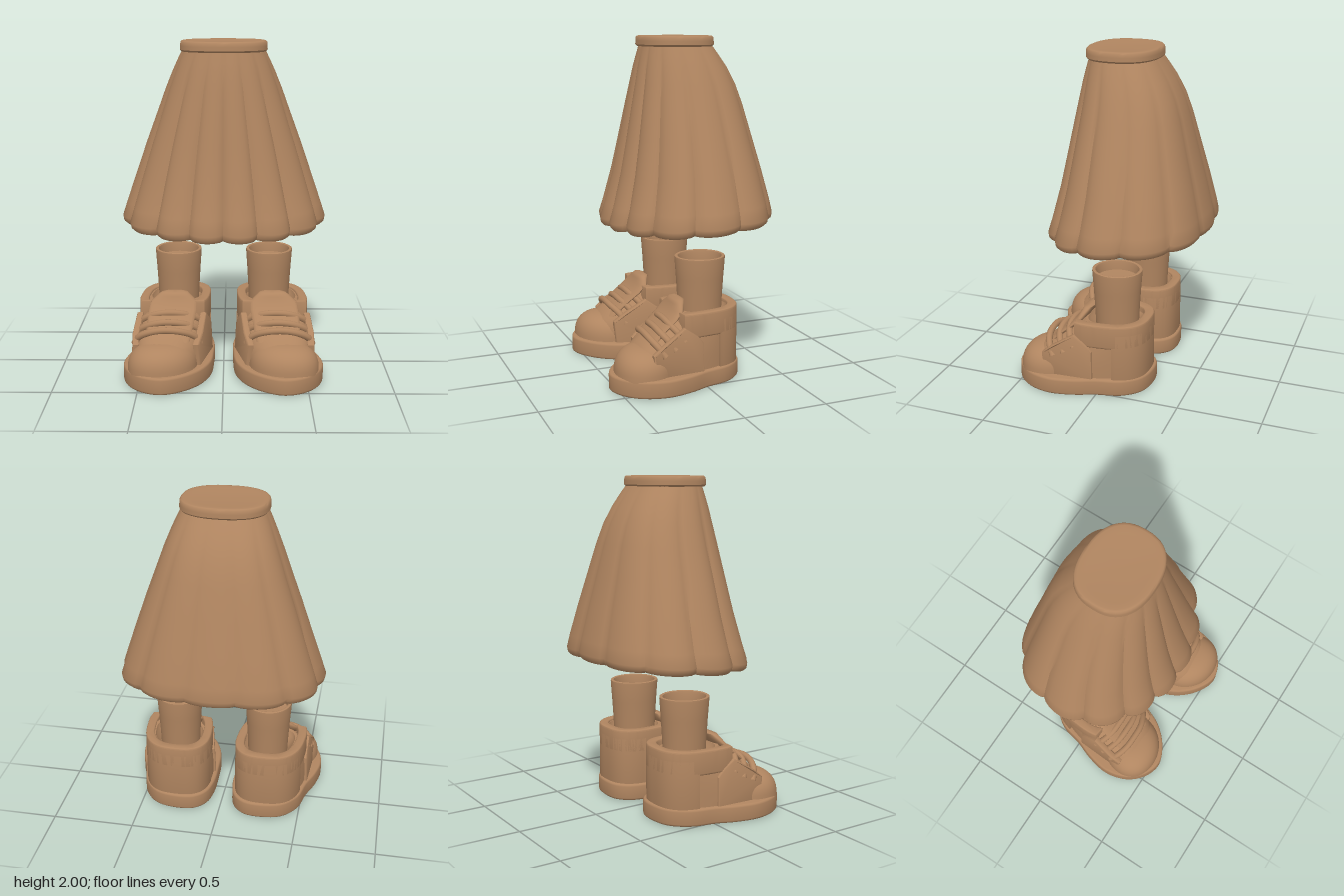
import * as THREE from 'three';
import { toCreasedNormals } from 'three/addons/utils/BufferGeometryUtils.js';

const material = new THREE.MeshStandardMaterial({ color: 0xb08560, side: THREE.DoubleSide });

function add(parent, name, geometry) {
  const mesh = new THREE.Mesh(geometry, material);
  mesh.name = name;
  parent.add(mesh);
  return mesh;
}

// Skin a stack of closed rings, each an array of [x, y, z]
function loft(rings, crease = 0.7) {
  const n = rings[0].length, index = [];
  for (let i = 0; i < rings.length - 1; i++) {
    for (let j = 0; j < n; j++) {
      const k = (j + 1) % n, a = i * n, b = a + n;
      index.push(a + j, a + k, b + k, a + j, b + k, b + j);
    }
  }
  const g = new THREE.BufferGeometry();
  g.setAttribute('position', new THREE.Float32BufferAttribute(rings.flat(2), 3));
  g.setIndex(index);
  return toCreasedNormals(g, crease);
}

// Superellipse point at angle t, measured from +z towards +x
function superPoint(t, power) {
  const f = v => Math.sign(v) * Math.pow(Math.abs(v), 2 / power);
  return [f(Math.sin(t)), f(Math.cos(t))];
}

// Horizontal ring; slant turns the toe outward
function ring(y, halfX, zBack, zFront, { cx = 0, slant = 0, power = 2.4, n = 48 } = {}) {
  return Array.from({ length: n }, (_, j) => {
    const [u, v] = superPoint(j / n * Math.PI * 2, power);
    const z = (zBack + zFront) / 2 + v * (zFront - zBack) / 2;
    return [cx + u * halfX + slant * (z + 0.05), y, z];
  });
}

// Angles of the pleat valleys around the skirt, mirrored left to right
const half = [0.35, 0.74, 1.245, 1.83, 2.39, 2.89];
const valleys = [0, ...half, ...half.map(a => 2 * Math.PI - a).reverse(), 2 * Math.PI];

// Pleated ring: squarer and shallower towards the back
function skirtRing([y, halfX, zBack, zFront, depth], inset = 0) {
  const s = THREE.MathUtils.clamp((1.93 - y) / 1.03, 0, 1), steps = 10, pts = [];
  const cz = (zBack + zFront) / 2, rz = (zFront - zBack) / 2;
  for (let i = 0; i < valleys.length - 1; i++) {
    for (let k = 0; k < steps; k++) {
      const u = k / steps, t = THREE.MathUtils.lerp(valleys[i], valleys[i + 1], u);
      const sin = Math.sin(t), cos = Math.cos(t), power = cos < 0 ? 2.45 : 2.05;
      const square = Math.pow(Math.abs(sin) ** power + Math.abs(cos) ** power, -1 / power);
      const dip = (1 - Math.pow(Math.sin(Math.PI * u), 0.65)) * (0.75 + 0.25 * cos);
      const scale = square * (1 - depth * dip - inset);
      const lift = s * s * (0.03 * (1 - cos) + 0.01 * dip);
      pts.push([sin * halfX * scale, y + lift, cz + cos * rz * scale]);
    }
  }
  return pts;
}

function buildSkirt(parent) {
  // y, half width, back z, front z, pleat depth
  const rows = [
    [0.915, 0.618, -0.545, 0.438, 0.08], [1.0, 0.592, -0.53, 0.412, 0.08],
    [1.2, 0.527, -0.485, 0.36, 0.072], [1.4, 0.46, -0.435, 0.319, 0.065],
    [1.6, 0.388, -0.385, 0.28, 0.055], [1.72, 0.345, -0.345, 0.255, 0.045],
    [1.82, 0.304, -0.295, 0.234, 0.035], [1.89, 0.272, -0.248, 0.215, 0.02],
    [1.95, 0.242, -0.205, 0.198, 0.008],
  ];
  const hem = y => [y, ...rows[0].slice(1)];
  const inner = rows.slice().reverse().map(([y, x, b, f]) => skirtRing([y, x, b, f, 0], 0.1));
  const outer = rows.map(r => skirtRing(r));
  const top = inner[0].map(() => [0, 1.95, 0]);
  add(parent, 'pleatedSkirt', loft([
    top, ...inner, skirtRing([0.882, 0.618, -0.545, 0.438, 0.03], 0.07), skirtRing(hem(0.873), 0.035),
    skirtRing(hem(0.887), 0.008), ...outer], 0.8));

  // Waistband with a gently rounded edge
  const band = [[1.938, 0.235, 0.2], [1.938, 0.25, 0.207], [1.948, 0.258, 0.216], [1.97, 0.257, 0.215],
    [1.99, 0.255, 0.213], [1.998, 0.248, 0.206], [2, 0.236, 0.195], [1.996, 0.2, 0.16], [1.996, 0, 0]];
  add(parent, 'waistband', loft(band.map(([y, x, z]) => ring(y, x, -z - 0.005, z - 0.005))));
}

// U-shaped wrap around the heel, ending at zEnd on both sides
function heelWrap(y0, y1, zEnd) {
  const arc = (h, zBack, zFront) => ring(0, h, zBack, zFront, { cx: 0.293, slant: 0.09, n: 120, power: 2.7 })
    .filter(p => p[2] < zEnd).map(p => new THREE.Vector2(p[0], -p[2]));
  const shape = new THREE.Shape([...arc(0.203, -0.255, 0.24), ...arc(0.165, -0.215, 0.2).reverse()]);
  const g = new THREE.ExtrudeGeometry(shape, {
    depth: y1 - y0 - 0.024, bevelSize: 0.009, bevelThickness: 0.012, bevelSegments: 3 });
  g.rotateX(-Math.PI / 2).translate(0, y0 + 0.012, 0);
  return toCreasedNormals(g, 0.6);
}

function buildFoot() {
  const foot = new THREE.Group();

  // Thick sole
  const solePoints = [[0.27, -0.28], [0.4, -0.25], [0.49, -0.15], [0.53, 0], [0.575, 0.12], [0.6, 0.27],
    [0.562, 0.41], [0.475, 0.505], [0.36, 0.543], [0.24, 0.495], [0.135, 0.39], [0.075, 0.25], [0.06, 0.08],
    [0.06, -0.08], [0.09, -0.2], [0.16, -0.265]].map(([x, z]) => new THREE.Vector3(x, -z, 0));
  const soleCurve = new THREE.CatmullRomCurve3(solePoints, true);
  const soleShape = new THREE.Shape(soleCurve.getPoints(64).slice(0, -1).map(p => new THREE.Vector2(p.x, p.y)));
  const sole = new THREE.ExtrudeGeometry(soleShape, {
    depth: 0.075, bevelSize: 0.013, bevelOffset: -0.013, bevelThickness: 0.014, bevelSegments: 3 });
  sole.rotateX(-Math.PI / 2).translate(0, 0.014, 0);
  add(foot, 'sole', toCreasedNormals(sole, 0.6));

  // Shoe body: y, half width, back z, front z; the last rows turn into the opening
  const body = [[0.09, 0.215, -0.25, 0.45], [0.17, 0.215, -0.25, 0.44], [0.23, 0.211, -0.25, 0.4],
    [0.28, 0.204, -0.25, 0.335], [0.33, 0.195, -0.25, 0.255], [0.38, 0.187, -0.245, 0.185],
    [0.42, 0.18, -0.24, 0.135], [0.435, 0.168, -0.23, 0.12], [0.432, 0.153, -0.21, 0.105],
    [0.41, 0.145, -0.2, 0.095], [0.36, 0.1, -0.15, 0.05]];
  add(foot, 'shoeBody', loft(body.map(([y, h, b, f]) =>
    ring(y, h, b, f, { cx: 0.288, slant: 0.14, power: 2.6 })), 0.9));

  // Rounded toe cap
  const cap = [];
  for (let i = 0; i <= 12; i++) {
    const [c, s] = superPoint(i / 12 * Math.PI / 2, 2.6).reverse();
    cap.push(ring(0.09 + 0.163 * s, 0.205 * c, 0.325 - 0.19 * c, 0.325 + 0.19 * c, { cx: 0.308, slant: 0.14, power: 2.05 }));
  }
  add(foot, 'toeCap', loft(cap, 0.9));

  // Heel counter and padded ankle collar
  add(foot, 'heelCounter', heelWrap(0.09, 0.4, -0.085));
  add(foot, 'ankleCollar', heelWrap(0.3, 0.445, 0.14));

  // Side panel between heel counter and toe cap
  for (const side of [-1, 1]) {
    const shape = new THREE.Shape([[0.03, 0.1], [0.32, 0.1], [0.33, 0.23], [0.27, 0.28], [0.14, 0.36],
      [0.07, 0.31], [0.035, 0.27]].map(p => new THREE.Vector2(...p)));
    const g = new THREE.ExtrudeGeometry(shape, { depth: 0.022, bevelSize: 0.008, bevelThickness: 0.008, bevelSegments: 2 });
    g.rotateY(-Math.PI / 2).translate(0.011, 0, 0);
    const p = g.attributes.position;
    for (let i = 0; i < p.count; i++) {
      const z = p.getZ(i), y = p.getY(i);
      const reach = 0.212 - 0.12 * Math.max(0, y - 0.2) - 1.1 * Math.max(0, z - 0.17) ** 2;
      p.setX(i, 0.288 + 0.14 * (z + 0.05) + side * reach + p.getX(i));
    }
    add(foot, 'sidePanel', toCreasedNormals(g, 0.6));
  }

  // Tongue: cross-sections from the toe up to the padded tip
  const tongue = [[0.25, 0.33, 0.13], [0.33, 0.255, 0.14], [0.40, 0.17, 0.145], [0.44, 0.135, 0.14],
    [0.47, 0.12, 0.105], [0.49, 0.11, 0.08], [0.497, 0.1, 0.05]];
  add(foot, 'tongue', loft(tongue.map(([y, z, h], i) =>
    ring(y, h, z - (i > 5 ? 0.012 : 0.035), z + (i > 5 ? 0.005 : 0.025), { cx: 0.277, slant: 0.14, n: 24 }))
    .concat([ring(0.497, 0, 0.1, 0.1, { cx: 0.277, slant: 0.14, n: 24 })]), 0.9));

  // Laces arching over the tongue
  for (const [y, z] of [[0.385, 0.19], [0.345, 0.25], [0.318, 0.315]]) {
    const cx = 0.288 + 0.14 * (z + 0.05);
    const path = new THREE.CatmullRomCurve3([[-0.2, -0.1, -0.055], [-0.165, -0.045, -0.025], [-0.08, -0.004, 0.012],
      [0.02, 0.004, 0.018], [0.1, -0.012, 0.01], [0.165, -0.05, -0.018], [0.195, -0.1, -0.05]]
      .map(([a, b, c]) => new THREE.Vector3(cx + a, y + b, z + c)));
    add(foot, 'lace', new THREE.TubeGeometry(path, 28, 0.02, 10));
  }

  // Sock with a shallow open top
  const sock = [[0.122, 0.36], [0.127, 0.48], [0.134, 0.6], [0.142, 0.715], [0.141, 0.726], [0.134, 0.73],
    [0.124, 0.726], [0.12, 0.71], [0.117, 0.67], [0, 0.665]].map(p => new THREE.Vector2(...p));
  const leg = add(foot, 'sock', toCreasedNormals(new THREE.LatheGeometry(sock, 36), 0.9));
  leg.position.set(0.28, 0, -0.052);
  leg.scale.z = 1.06;
  return foot;
}

export function createModel() {
  const model = new THREE.Group();
  model.name = 'skirtAndShoes';
  buildSkirt(model);
  for (const side of [1, -1]) {
    const foot = buildFoot();
    foot.name = side > 0 ? 'leftFoot' : 'rightFoot';
    foot.scale.x = side;
    model.add(foot);
  }
  return model;
}
